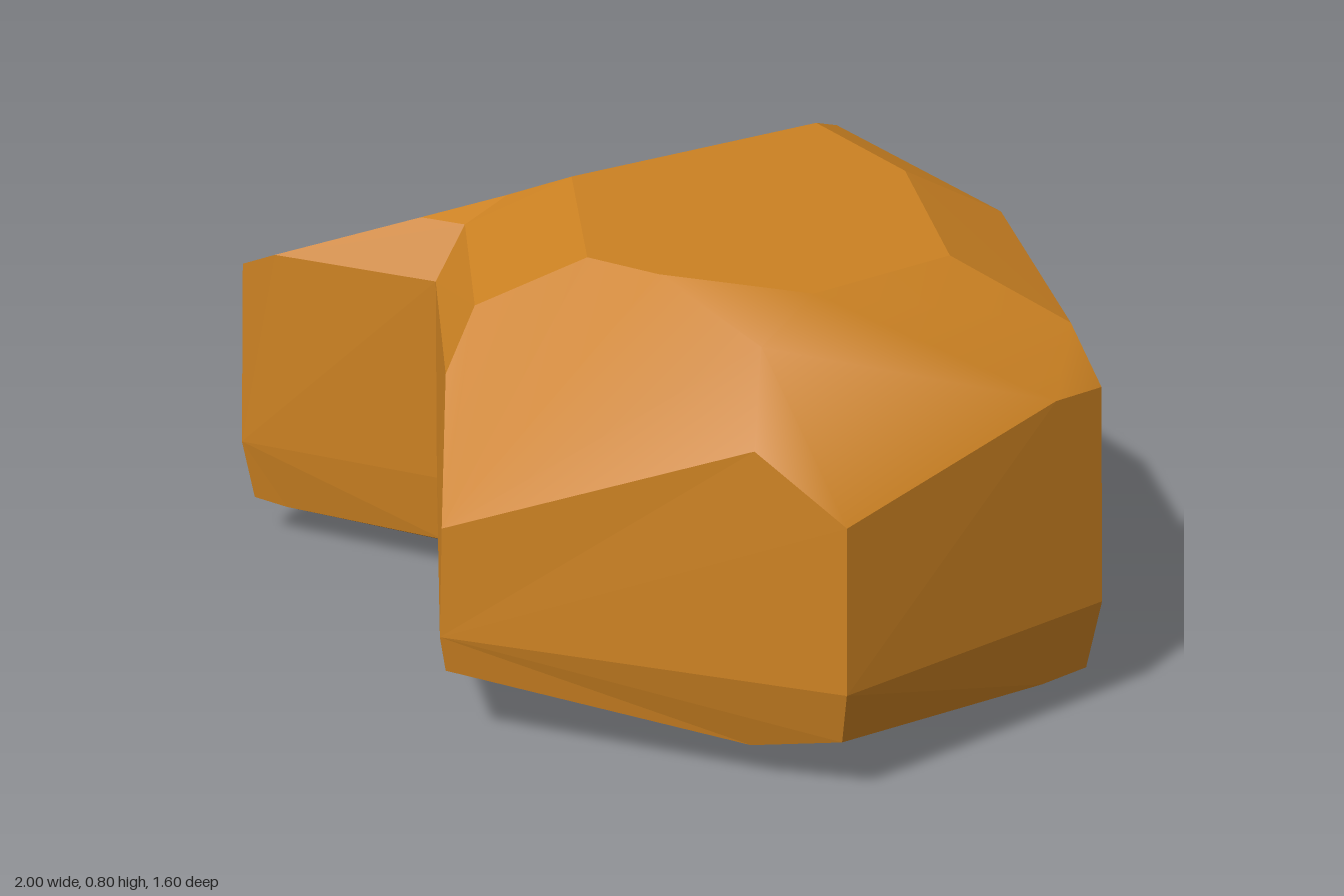
import * as THREE from 'three';
import { mergeVertices } from 'three/addons/utils/BufferGeometryUtils.js';

const WAIST = 0.2;

// Named corners of the upper half: w* waist, then wall tops, bevel and plateau
const P = {
  wA: [-1, WAIST, 0], wB: [-0.6, WAIST, 0.6], wC: [-0.2, WAIST, 0.4],
  wD: [0.4, WAIST, 0.8], wX: [1, WAIST, 0.4], wE: [1, WAIST, -0.2],
  wF: [0.4, WAIST, -0.6], wG: [-0.4, WAIST, -0.8], wH: [-0.8, WAIST, -0.6],
  a: [-0.99, 0.405, 0], b1: [-0.595, 0.572, 0.58], b2: [-0.53, 0.6, 0.545], b3: [-0.29, 0.7, 0.36],
  c1: [-0.2, 0.6, 0.39], c2: [-0.2, 0.7, 0.32], c3: [-0.2, 0.74, 0.22],
  d1: [0.23, 0.6, 0.66], d2: [0.2, 0.7, 0.575], d: [0.4, 0.4, 0.79],
  r: [0.84, 0.6, 0.47], x: [0.98, 0.49, 0.39], m: [0.76, 0.74, 0.39],
  e0: [0.98, 0.6, -0.08], e: [0.98, 0.6, -0.19], e2: [0.91, 0.7, -0.18],
  f: [0.395, 0.6, -0.585], f2: [0.37, 0.7, -0.54],
  g: [-0.4, 0.6, -0.78], g2: [-0.53, 0.6, -0.715], g3: [-0.4, 0.655, -0.75], g4: [-0.29, 0.7, -0.7],
  h: [-0.79, 0.49, -0.59],
  t1: [-0.06, 0.8, 0.17], t2: [0.35, 0.8, 0.44], t3: [0.5, 0.8, 0.4], t4: [0.74, 0.8, 0.26],
  t5: [0.73, 0.8, -0.06], t6: [0.3, 0.8, -0.35], t7: [-0.06, 0.8, -0.44],
};

// Each face lists its corners counter-clockwise from above
const walls = [
  'wA wB b1 a', 'wB wC c1 b2 b1', 'wC wD d d1 c1', 'wD wX x r d', 'wX wE e e0 x',
  'wE wF f e', 'wF wG g f', 'wG wH h g2 g', 'wH wA a h',
];
const bevels = [
  'b2 c1 c2 b3', 'c1 d1 d2 c2', 'e f f2 e2', 'f g g3 g4 f2', 'g g2 g3',
  'b3 c2 c3', 'c2 t1 c3', 'c2 d2 t2 t1', 'e2 f2 t6 t5', 'f2 g4 t7 t6',
];
const crown = ['a b1 b2 b3 c3 t1 t7 g4 g3 g2 h', 't1 t2 t3 t4 t5 t6 t7'];
const corner = [
  'd1 d d2', 'd t2 d2', 'd t3 t2', 'd m t3', 'd r m', 'r x m', 'x e0 m',
  'm e0 t4', 'm t4 t3', 'e0 e e2', 'e0 e2 t4', 'e2 t5 t4',
];

// Fan-triangulates faces; the underside is the upper half flipped at a third of its height
function shell(faces, under, smooth) {
  const out = [];
  const put = (key) => {
    const [x, y, z] = P[key];
    out.push(x, under ? WAIST - (y - WAIST) / 3 : y, z);
  };
  for (const face of faces) {
    const k = face.split(' ');
    for (let i = 1; i < k.length - 1; i++) {
      const tri = [k[0], k[i], k[i + 1]];
      (under ? tri.reverse() : tri).forEach(put);
    }
  }
  let geo = new THREE.BufferGeometry();
  geo.setAttribute('position', new THREE.Float32BufferAttribute(out, 3));
  if (smooth) geo = mergeVertices(geo);
  geo.computeVertexNormals();
  return geo;
}

export function createModel() {
  const rock = new THREE.Group();
  rock.name = 'rock';
  const stone = new THREE.MeshStandardMaterial({ color: 0xcb8122 });
  stone.name = 'ochre stone';

  const parts = { Walls: walls, Bevels: bevels, Crown: crown, WornCorner: corner };
  for (const under of [false, true]) {
    for (const [name, faces] of Object.entries(parts)) {
      const mesh = new THREE.Mesh(shell(faces, under, name === 'WornCorner'), stone);
      mesh.name = (under ? 'lower' : 'upper') + name;
      rock.add(mesh);
    }
  }
  return rock;
}
